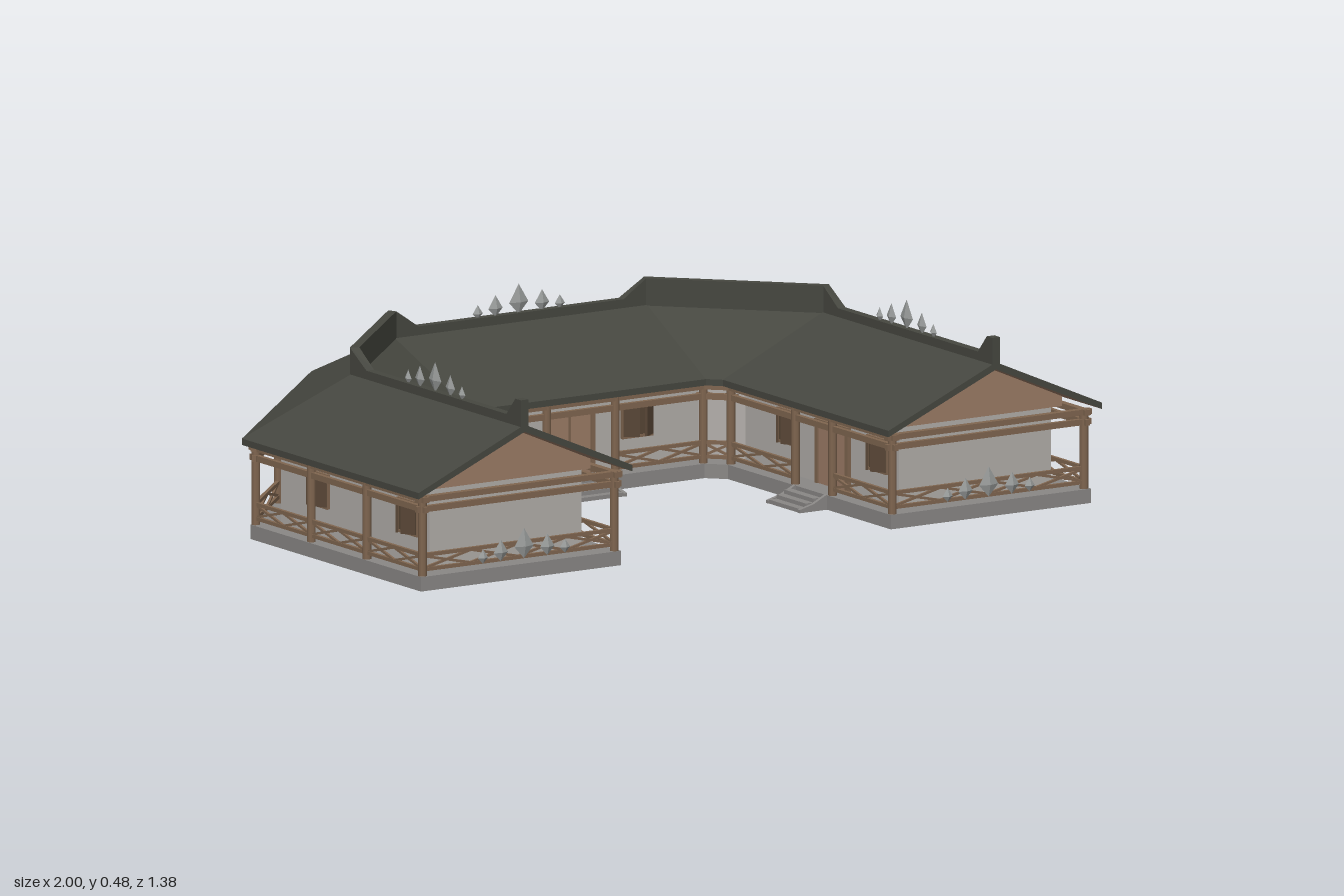
import * as THREE from 'three';

const mat = (name, color, side = THREE.FrontSide) => {
  const m = new THREE.MeshStandardMaterial({ color, side });
  m.name = name;
  return m;
};

export function createModel() {
  const root = new THREE.Group();
  const roofMat = mat('roof slate', 0x464740, THREE.DoubleSide);
  const wood = mat('timber', 0x806650);
  const panel = mat('gable boards', 0x9c7c66, THREE.DoubleSide);
  const dark = mat('dark shutters', 0x584636);
  const plaster = mat('plaster', 0xb2aeaa);
  const stone = mat('stone', 0x8a8886);
  const ornament = mat('ornament grey', 0x9a9d9c);

  const add = (parent, name, geo, m, x = 0, y = 0, z = 0) => {
    const mesh = new THREE.Mesh(geo, m);
    mesh.name = name;
    mesh.position.set(x, y, z);
    parent.add(mesh);
    return mesh;
  };
  const group = (parent, name, x = 0, y = 0, z = 0, turn = 0) => {
    const g = new THREE.Group();
    g.name = name;
    g.position.set(x, y, z);
    g.rotation.y = turn;
    parent.add(g);
    return g;
  };
  const box = (w, h, d) => new THREE.BoxGeometry(w, h, d);
  const mirror = (half) => [...half, ...half.slice().reverse().map(([x, ...r]) => [-x, ...r])];

  // Horseshoe plan inset by d from the eaves: matching outer and inner edges
  const outer = (d) => mirror([[1 - d, 0.69 - d], [1 - d, -0.1 + 0.41 * d], [0.41 - 0.41 * d, -0.69 + d]]);
  const inner = (d) => mirror([[0.375 + d, 0.69 - d], [0.375 + d, -0.05 - 0.41 * d], [0.345 + 0.41 * d, -0.08 - d]]);
  const ridge = mirror([[0.69, 0.69], [0.69, -0.07], [0.37, -0.39]]);

  const floor = (name, d, y, h, m) => {
    const pts = [...outer(d), ...inner(d).reverse()].map(([x, z]) => new THREE.Vector2(x, -z));
    const geo = new THREE.ExtrudeGeometry(new THREE.Shape(pts), { depth: h, bevelEnabled: false });
    geo.rotateX(-Math.PI / 2);
    add(root, name, geo, m, 0, y, 0);
  };
  floor('foundation', 0.02, 0, 0.036, stone);
  floor('walls', 0.09, 0.036, 0.2, plaster);

  // Skin joining rows of points, with flat facets
  const skin = (rows, closed = false) => {
    const pos = [];
    const quad = (a, b, c, d) => pos.push(...a, ...b, ...c, ...a, ...c, ...d);
    for (let r = 0; r < rows.length - (closed ? 0 : 1); r++) {
      const p = rows[r], q = rows[(r + 1) % rows.length];
      for (let i = 0; i < p.length - 1; i++) quad(p[i], p[i + 1], q[i + 1], q[i]);
    }
    if (closed) for (const e of [0, rows[0].length - 1]) {
      for (let r = 1; r < rows.length - 1; r++) pos.push(...rows[0][e], ...rows[r][e], ...rows[r + 1][e]);
    }
    const geo = new THREE.BufferGeometry();
    geo.setAttribute('position', new THREE.Float32BufferAttribute(pos, 3));
    geo.computeVertexNormals();
    return geo;
  };
  const lift = (path, y) => path.map(([x, z]) => [x, y, z]);

  // Roof slopes, eave edges and timber underside
  const roof = group(root, 'roof');
  const under = [lift(outer(0).map(([x, z]) => [x, z]), 0.236), lift(ridge, 0.37), lift(inner(0), 0.236)];
  const top = [lift(outer(0), 0.252), lift(ridge, 0.388), lift(inner(0), 0.252)];
  add(roof, 'roofSlopes', skin(top), roofMat);
  add(roof, 'outerEave', skin([top[0], under[0]]), roofMat);
  add(roof, 'innerEave', skin([top[2], under[2]]), roofMat);
  add(roof, 'roofUnderside', skin(under), panel);
  for (const e of [0, 5]) {
    add(roof, 'vergeBoard', skin([top.map((r) => r[e]), under.map((r) => r[e])]), roofMat);
  }

  // Ridge cap, stepped up at the bends and gable ends: x, z, top, side offset x, z
  const w = 0.011, k = 0.4 * w;
  const cap = mirror([
    [0.69, 0.69, 0.45, w, 0], [0.69, 0.665, 0.45, w, 0], [0.69, 0.625, 0.405, w, 0],
    [0.69, 0, 0.405, w, 0], [0.69, -0.07, 0.45, w, -k], [0.37, -0.39, 0.45, k, -w], [0.3, -0.39, 0.405, 0, -w],
  ]);
  const capRow = (s, low) => cap.map(([x, z, y, ox, oz]) => {
    const side = x < 0 ? -1 : 1;
    return [x + s * ox * side, low ? 0.372 : y, z + s * oz];
  });
  add(roof, 'ridgeCap', skin([capRow(1, true), capRow(1), capRow(-1), capRow(-1, true)], true), roofMat);

  // Gable boards under the wing ends
  for (const s of [-1, 1]) {
    const tri = new THREE.Shape([[-0.25, 0.235], [0.25, 0.235], [0.25, 0.26], [0, 0.37], [-0.25, 0.26]]
      .map(([x, y]) => new THREE.Vector2(x, y)));
    add(roof, 'gable', new THREE.ShapeGeometry(tri), panel, s * 0.69, 0, 0.602);
  }

  // Fan of five faceted buds
  const buds = (name, x, y, z, turn) => {
    const g = group(root, name, x, y, z, turn);
    for (const [dx, h, wd] of [[0, 0.076, 0.056], [-0.068, 0.055, 0.042], [0.068, 0.055, 0.042], [-0.12, 0.036, 0.03], [0.12, 0.036, 0.03]]) {
      const geo = new THREE.OctahedronGeometry(0.5);
      const p = geo.attributes.position;
      for (let i = 0; i < p.count; i++) if (Math.abs(p.getY(i)) < 0.01) p.setY(i, -0.1);
      geo.scale(wd, h, 0.016);
      geo.computeVertexNormals();
      add(g, 'bud', geo, ornament, dx, h / 2, 0);
    }
  };
  buds('rearRidgeBuds', 0, 0.4, -0.39, 0);
  for (const s of [-1, 1]) {
    buds('wingRidgeBuds', s * 0.69, 0.4, 0.29, Math.PI / 2);
    buds('railingBuds', s * 0.68, 0.05, 0.672, 0);
  }

  // Straight timber between two points, optionally running past its ends
  const timber = (parent, name, a, b, t, over = 0, h = t) => {
    const A = new THREE.Vector3(...a), B = new THREE.Vector3(...b);
    const mesh = add(parent, name, box(t, h, A.distanceTo(B) + 2 * over), wood);
    mesh.position.copy(A).lerp(B, 0.5);
    mesh.lookAt(B);
  };
  const postGeo = new THREE.CylinderGeometry(0.011, 0.011, 0.2, 8);
  const veranda = group(root, 'veranda');
  const railing = (a, b) => {
    const at = (t, y) => [a[0] + (b[0] - a[0]) * t, y, a[1] + (b[1] - a[1]) * t];
    timber(veranda, 'topRail', at(0, 0.088), at(1, 0.088), 0.009);
    timber(veranda, 'bottomRail', at(0, 0.052), at(1, 0.052), 0.009);
    const n = Math.max(1, Math.round(Math.hypot(b[0] - a[0], b[1] - a[1]) / 0.13));
    for (let i = 0; i < n; i++) {
      timber(veranda, 'lattice', at(i / n, 0.054), at((i + 1) / n, 0.086), 0.006);
      timber(veranda, 'lattice', at(i / n, 0.086), at((i + 1) / n, 0.054), 0.006);
    }
  };
  // One side of the veranda: posts at fractions along it, bay 'open' has no railing
  const side = (a, b, stops, open = -1) => {
    const at = (t) => [a[0] + (b[0] - a[0]) * t, a[1] + (b[1] - a[1]) * t];
    timber(veranda, 'tieBeam', [a[0], 0.203, a[1]], [b[0], 0.203, b[1]], 0.012, 0.018, 0.015);
    timber(veranda, 'eaveBeam', [a[0], 0.228, a[1]], [b[0], 0.228, b[1]], 0.018, 0.018, 0.014);
    stops.forEach((t, i) => {
      const p = at(t);
      add(veranda, 'post', postGeo, wood, p[0], 0.136, p[1]);
      if (i && i - 1 !== open) railing(at(stops[i - 1]), p);
    });
  };
  const o = outer(0.032), n = inner(0.032), thirds = [0, 1 / 3, 2 / 3, 1];
  for (let i = 0; i < 5; i++) side(o[i], o[i + 1], thirds);
  for (const [a, b] of [[0, 1], [5, 4]]) side(n[a], n[b], [0, 0.37, 0.6, 1], 1);
  side(n[1], n[2], [0, 1]);
  side(n[4], n[3], [0, 1]);
  side(n[2], n[3], [0, 0.36, 0.64, 1], 1);
  side(o[0], n[0], [0, 1]);
  side(o[5], n[5], [0, 1]);

  // Window with two half-open shutters
  const windowAt = (x, z, turn) => {
    const g = group(root, 'window', x, 0.152, z, turn);
    add(g, 'opening', box(0.08, 0.075, 0.008), dark);
    for (const s of [-1, 1]) {
      add(g, 'jamb', box(0.007, 0.085, 0.012), wood, s * 0.042, 0, 0);
      add(g, 'crossBar', box(0.09, 0.007, 0.012), wood, 0, s * 0.04, 0);
      const leaf = group(g, 'shutter', s * 0.042, 0, 0.006, s * 0.6);
      add(leaf, 'shutterLeaf', box(0.04, 0.075, 0.006), dark, -s * 0.02, 0, 0);
    }
  };
  // Doorway in the wall
  const doorAt = (x, z, turn) => {
    const g = group(root, 'door', x, 0.036, z, turn);
    add(g, 'doorPanel', box(0.13, 0.15, 0.008), panel, 0, 0.075, 0);
    add(g, 'lintel', box(0.15, 0.012, 0.016), wood, 0, 0.155, 0);
    for (const s of [-1, 0, 1]) add(g, 'doorStile', box(s ? 0.012 : 0.005, 0.15, 0.016), wood, s * 0.068, 0.075, 0);
  };
  // Stone steps with low side walls, rising away from +z
  const stepsAt = (x, z, turn) => {
    const g = group(root, 'steps', x, 0, z, turn);
    for (let i = 0; i < 3; i++) add(g, 'step', box(0.13, 0.01 * (i + 1), 0.022), stone, 0, 0.005 * (i + 1), 0.067 - 0.022 * i);
    const cheek = new THREE.Shape([[0, 0], [0.08, 0], [0.08, 0.008], [0.04, 0.018], [0, 0.038]].map((p) => new THREE.Vector2(...p)));
    for (const s of [-1, 1]) {
      const geo = new THREE.ExtrudeGeometry(cheek, { depth: 0.01, bevelEnabled: false });
      geo.translate(0, 0, -0.005).rotateY(-Math.PI / 2);
      add(g, 'stepSide', geo, stone, s * 0.07, 0, 0);
    }
  };

  const q = Math.PI / 2;
  doorAt(0, -0.168, 0);
  stepsAt(0, -0.1, 0);
  for (const s of [-1, 1]) {
    windowAt(s * 0.2, -0.168, 0);
    doorAt(s * 0.463, 0.31, -s * q);
    stepsAt(s * 0.395, 0.31, -s * q);
    for (const z of [0.51, 0.11]) {
      windowAt(s * 0.912, z, s * q);
      windowAt(s * 0.463, z, -s * q);
    }
  }
  return root;
}
